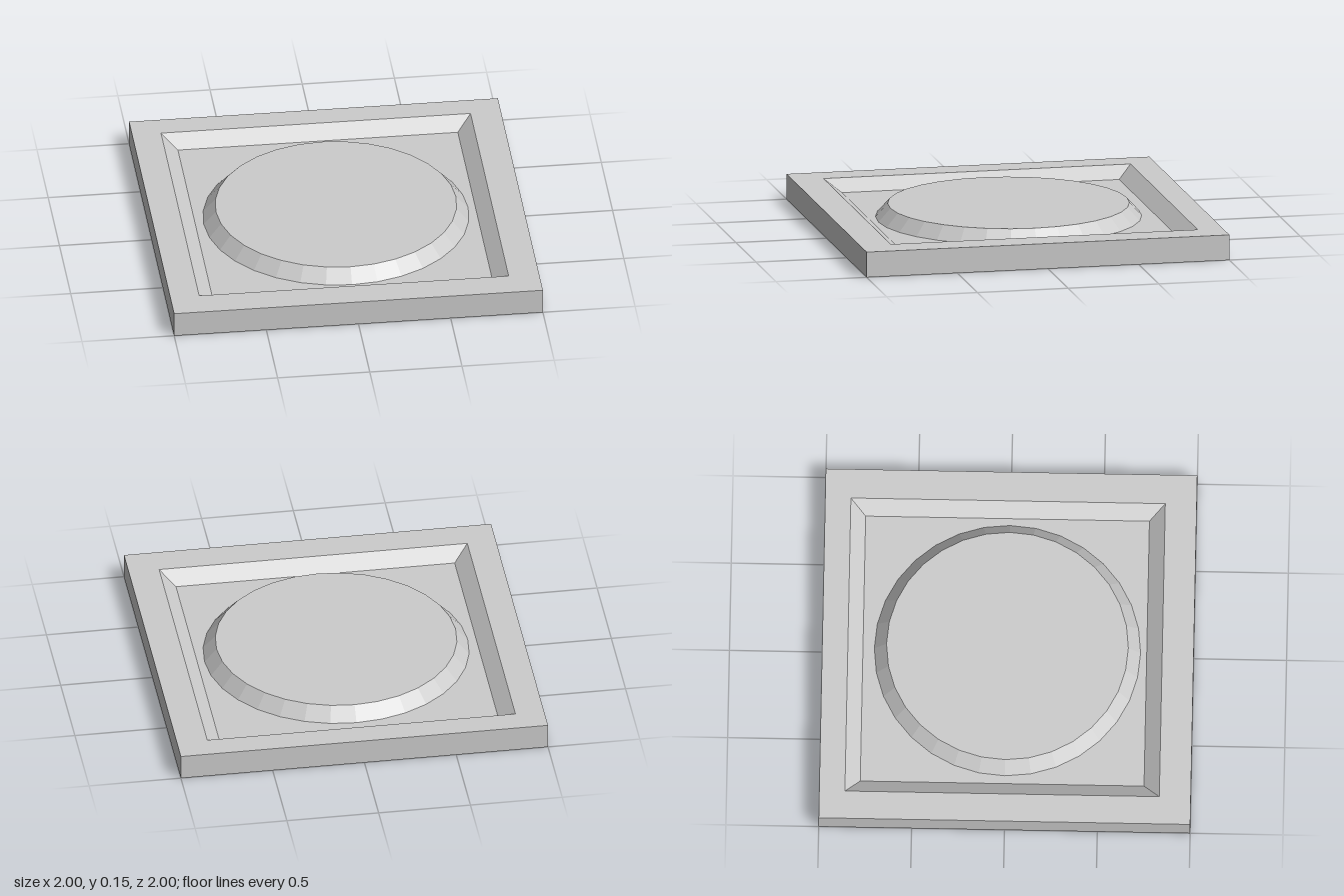
import * as THREE from 'three';

const SLAB_TOP = 0.139, FLOOR = 0.075, DISC_TOP = 0.148;

// Rectangle corners at height y, counter-clockwise seen from above
function rectangle(x0, x1, z0, z1, y) {
  return [[x1, y, z1], [x1, y, z0], [x0, y, z0], [x0, y, z1]];
}

// Flat-faced skin through a list of four-cornered rings, closed at both ends
function loftRings(rings) {
  const positions = [];
  const quad = (a, b, c, d) => positions.push(...a, ...b, ...c, ...a, ...c, ...d);
  for (let i = 0; i < rings.length - 1; i++) {
    const lower = rings[i], upper = rings[i + 1];
    for (let j = 0; j < 4; j++) {
      const k = (j + 1) % 4;
      quad(lower[j], lower[k], upper[k], upper[j]);
    }
  }
  quad(...[...rings[0]].reverse());
  quad(...rings[rings.length - 1]);
  const geometry = new THREE.BufferGeometry();
  geometry.setAttribute('position', new THREE.Float32BufferAttribute(positions, 3));
  geometry.computeVertexNormals();
  return geometry;
}

export function createModel() {
  const group = new THREE.Group();
  group.name = 'squareTile';
  const material = new THREE.MeshStandardMaterial({ color: 0xcccccc, flatShading: true });

  // Square slab: outer walls, flat rim, sloped recess walls and recess floor
  const slab = new THREE.Mesh(loftRings([
    rectangle(-1, 1, -1, 1, 0),
    rectangle(-1, 1, -1, 1, SLAB_TOP),
    rectangle(-0.844, 0.835, -0.862, 0.831, SLAB_TOP),
    rectangle(-0.762, 0.756, -0.781, 0.747, FLOOR),
  ]), material);
  slab.name = 'recessedSlab';
  group.add(slab);

  // Round raised plate with a bevelled side, rising just above the rim
  const profile = [[0.717, FLOOR], [0.651, DISC_TOP], [0, DISC_TOP]]
    .map(([r, y]) => new THREE.Vector2(r, y));
  const disc = new THREE.Mesh(new THREE.LatheGeometry(profile, 32), material);
  disc.name = 'raisedDisc';
  disc.position.z = -0.003;
  group.add(disc);

  return group;
}
